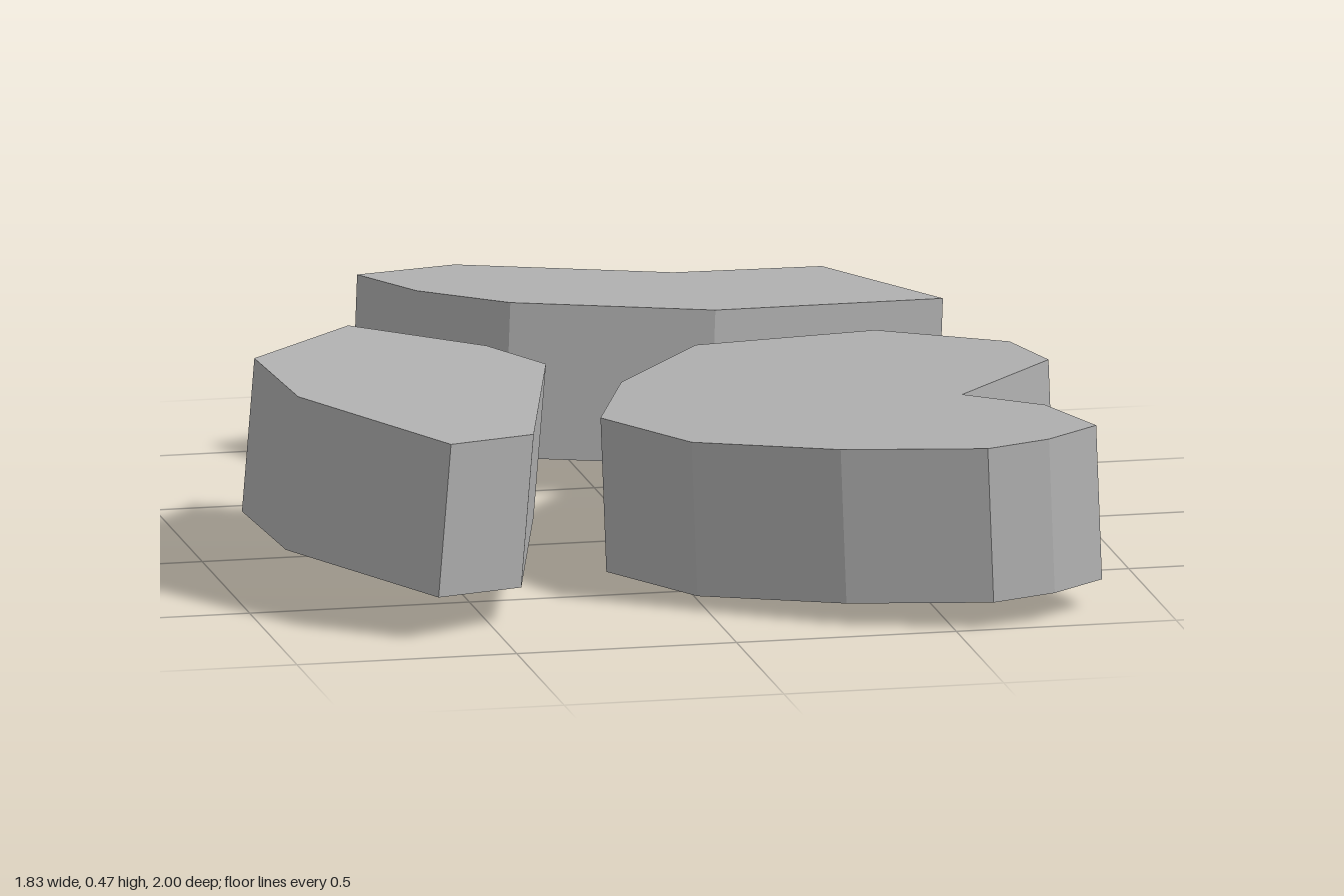
import * as THREE from 'three';

const THICKNESS = 0.35;

// Flat slab with a polygonal outline (x, z), its top lying on the plane
// y = height + slopeX * x + slopeZ * z and its sides square to that plane.
function makeSlab(name, material, outline, height, slopeX, slopeZ) {
  const shape = new THREE.Shape(outline.map(([x, z]) => new THREE.Vector2(x, -z)));
  const geometry = new THREE.ExtrudeGeometry(shape, { depth: THICKNESS, bevelEnabled: false });
  geometry.rotateX(-Math.PI / 2);
  const normal = new THREE.Vector3(-slopeX, 1, -slopeZ).normalize();
  const position = geometry.attributes.position;
  const p = new THREE.Vector3();
  for (let i = 0; i < position.count; i++) {
    p.fromBufferAttribute(position, i);
    const drop = THICKNESS - p.y;
    p.y = height + slopeX * p.x + slopeZ * p.z;
    p.addScaledVector(normal, -drop);
    position.setXYZ(i, p.x, p.y, p.z);
  }
  geometry.computeVertexNormals();
  const mesh = new THREE.Mesh(geometry, material);
  mesh.name = name;
  return mesh;
}

export function createModel() {
  const group = new THREE.Group();
  group.name = 'steppingStones';
  const stone = new THREE.MeshStandardMaterial({ color: 0xb0b0b0 });
  stone.name = 'stone grey';

  // Large front stone with a notch in its side
  group.add(makeSlab('largeNotchedStone', stone, [
    [0.2, -0.36], [0.61, -0.365], [0.865, -0.13], [0.905, 0.095], [0.645, 0.39],
    [0.795, 0.57], [0.855, 0.83], [0.725, 0.935], [0.575, 0.985], [0.265, 0.87],
    [-0.03, 0.665], [-0.165, 0.33], [-0.04, -0.03],
  ], 0.363, 0.03, 0.037));

  // Stone on the right-hand side
  group.add(makeSlab('sideStone', stone, [
    [-0.6, -0.315], [-0.32, -0.155], [-0.22, 0.01], [-0.4, 0.715],
    [-0.615, 0.84], [-0.87, 0.41], [-0.89, 0.04],
  ], 0.403, -0.081, 0));

  // Long stone at the back
  group.add(makeSlab('backStone', stone, [
    [-0.21, -1.0], [0.265, -0.895], [0.62, -0.975], [0.805, -0.555],
    [0.255, -0.405], [-0.19, -0.505], [-0.37, -0.66], [-0.46, -0.87],
  ], 0.459, -0.05, 0.06));

  return group;
}
